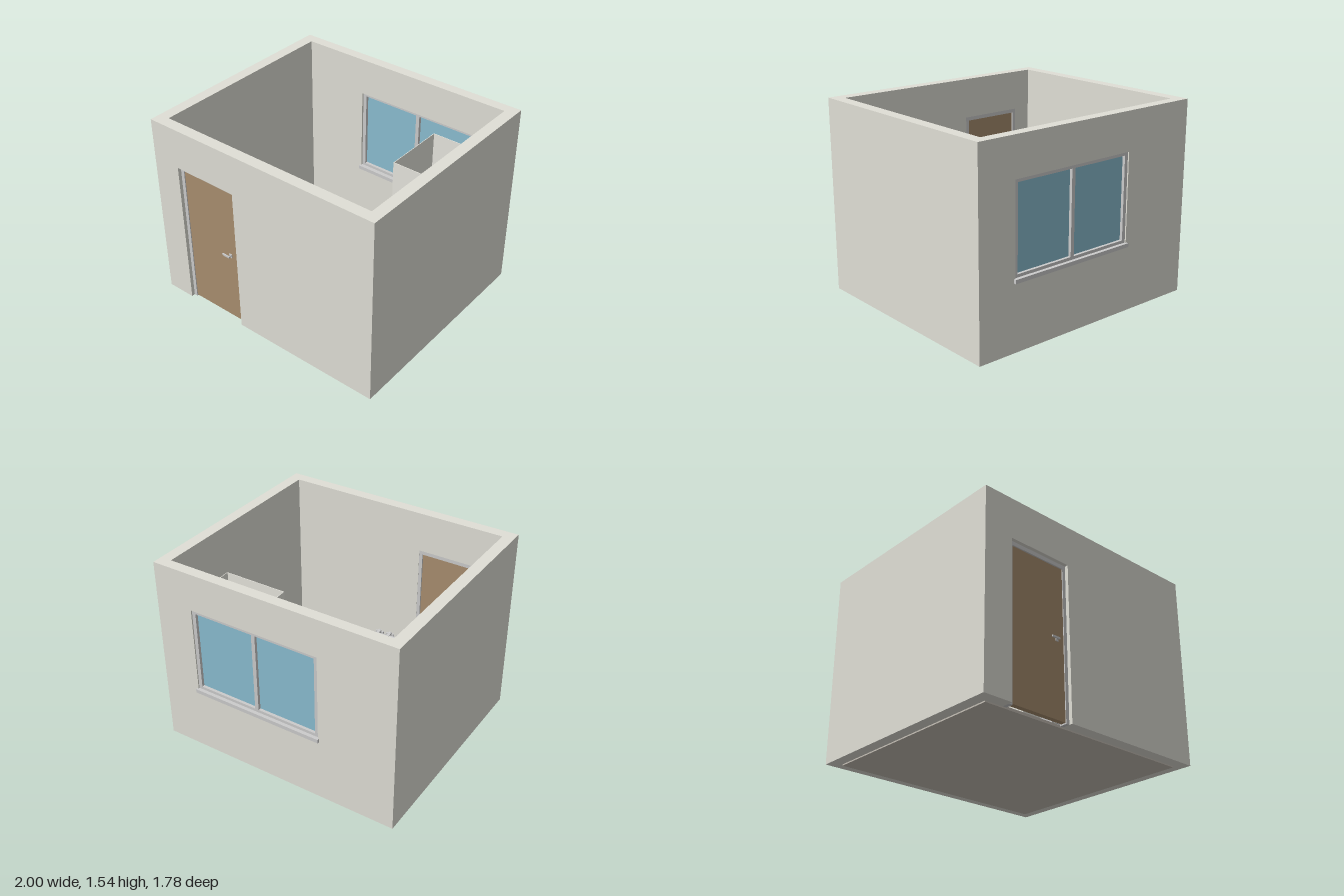
import * as THREE from 'three';

const mat = (color, side = THREE.FrontSide) => new THREE.MeshStandardMaterial({ color, side });
const grey = mat(0xcccccc), greyTwo = mat(0xcccccc, THREE.DoubleSide);
const wallMat = mat(0xe0dfd6), floorMat = mat(0xc4beb4), doorMat = mat(0xa88e6f);
const glassMat = mat(0x8abdd0), trayMat = mat(0xe6e5dd), darkMat = mat(0x404244);

function add(parent, name, geo, material, x = 0, y = 0, z = 0) {
  const m = new THREE.Mesh(geo, material);
  m.name = name;
  m.position.set(x, y, z);
  parent.add(m);
  return m;
}
// Box given by its limits on each axis
function box(parent, name, material, x0, x1, y0, y1, z0, z1) {
  return add(parent, name, new THREE.BoxGeometry(x1 - x0, y1 - y0, z1 - z0), material,
    (x0 + x1) / 2, (y0 + y1) / 2, (z0 + z1) / 2);
}
const group = (parent, name, x = 0, y = 0, z = 0, turn = 0) => {
  const g = new THREE.Group();
  g.name = name;
  g.position.set(x, y, z);
  g.rotation.y = turn;
  parent.add(g);
  return g;
};
const poly = (pts) => new THREE.Shape(pts.map(([x, y]) => new THREE.Vector2(x, y)));
const rect = (x0, x1, y0, y1) => poly([[x0, y0], [x1, y0], [x1, y1], [x0, y1]]);
const extrude = (shape, depth) =>
  new THREE.ExtrudeGeometry(shape, { depth, bevelEnabled: false, curveSegments: 12 });
// Extrude a plan (x, z) upward
const plan = (shape, height) => extrude(shape, height).rotateX(Math.PI / 2).translate(0, height, 0);

// Superellipse ring of points, squareness n
function oval(rx, rz, n, cz = 0, count = 32) {
  return Array.from({ length: count }, (_, i) => {
    const a = (i / count) * Math.PI * 2, c = Math.cos(a), s = Math.sin(a);
    return [rx * Math.sign(c) * Math.abs(c) ** (2 / n), cz + rz * Math.sign(s) * Math.abs(s) ** (2 / n)];
  });
}
// Skin through superellipse rings [y, rx, rz, cz], closed by a cap on the last ring
function loft(rings, n, count = 32) {
  const pos = [], idx = [];
  rings.forEach(([y, rx, rz, cz]) => oval(rx, rz, n, cz, count).forEach(([x, z]) => pos.push(x, y, z)));
  for (let r = 0; r < rings.length - 1; r++) {
    for (let i = 0; i < count; i++) {
      const a = r * count + i, b = r * count + (i + 1) % count;
      idx.push(a, a + count, b, b, a + count, b + count);
    }
  }
  const last = rings[rings.length - 1], base = (rings.length - 1) * count;
  pos.push(0, last[0], last[3]);
  for (let i = 0; i < count; i++) idx.push(base + i, rings.length * count, base + (i + 1) % count);
  const g = new THREE.BufferGeometry();
  g.setAttribute('position', new THREE.Float32BufferAttribute(pos, 3));
  g.setIndex(idx);
  g.computeVertexNormals();
  return g;
}

function buildRoom(root) {
  const room = group(root, 'room');
  box(room, 'floor', floorMat, -0.91, 0.91, 0, 0.02, -0.79, 0.8);
  for (const s of [-1, 1]) {
    const [a, b] = s > 0 ? [0.91, 1] : [-1, -0.91];
    box(room, 'sideWall', wallMat, a, b, 0.01, 1.54, -0.79, 0.8);
  }
  const front = poly([[-1, 0.01], [-0.765, 0.01], [-0.765, 1.22], [-0.23, 1.22], [-0.23, 0.01],
    [1, 0.01], [1, 1.54], [-1, 1.54]]);
  add(room, 'frontWall', extrude(front, 0.09), wallMat, 0, 0, 0.8);
  const back = rect(-1, 1, 0.01, 1.54);
  back.holes.push(rect(-0.38, 0.69, 0.54, 1.24));
  add(room, 'backWall', extrude(back, 0.085), wallMat, 0, 0, -0.875);
}

function buildDoor(root) {
  const door = group(root, 'door');
  const frame = poly([[-0.765, 0.01], [-0.735, 0.01], [-0.735, 1.19], [-0.258, 1.19], [-0.258, 0.01],
    [-0.23, 0.01], [-0.23, 1.22], [-0.765, 1.22]]);
  add(door, 'doorFrame', extrude(frame, 0.06), grey, 0, 0, 0.802);
  box(door, 'doorLeaf', doorMat, -0.735, -0.258, 0.02, 1.187, 0.815, 0.855);
  // A handle on each face
  for (const [z, s] of [[0.855, 1], [0.815, -1]]) {
    box(door, 'handlePlate', grey, -0.335, -0.31, 0.598, 0.628, Math.min(z, z + s * 0.006), Math.max(z, z + s * 0.006));
    add(door, 'handleStem', new THREE.CylinderGeometry(0.007, 0.007, 0.025, 12).rotateX(Math.PI / 2),
      grey, -0.322, 0.613, z + s * 0.0125);
    box(door, 'handleLever', grey, -0.385, -0.315, 0.606, 0.62, z + s * 0.023 - 0.005, z + s * 0.023 + 0.005);
  }
}

function buildWindow(root) {
  const win = group(root, 'window');
  const frame = rect(-0.38, 0.69, 0.55, 1.24);
  frame.holes.push(rect(-0.35, 0.14, 0.575, 1.215), rect(0.17, 0.66, 0.575, 1.215));
  add(win, 'windowFrame', extrude(frame, 0.06), grey, 0, 0, -0.865);
  box(win, 'glass', glassMat, -0.355, 0.665, 0.57, 1.22, -0.842, -0.83);
  box(win, 'sill', grey, -0.39, 0.7, 0.522, 0.552, -0.893, -0.77);
}

function buildShower(root) {
  const shower = group(root, 'shower');
  box(shower, 'tray', trayMat, 0.355, 0.89, 0.02, 0.07, -0.74, -0.21);
  const walls = rect(0.355, 0.89, -0.74, -0.21);
  walls.holes.push(rect(0.36, 0.885, -0.735, -0.215));
  add(shower, 'enclosure', plan(walls, 1.095), trayMat, 0, 0.07, 0);
  add(shower, 'drain', new THREE.CylinderGeometry(0.026, 0.026, 0.006, 20), darkMat, 0.62, 0.073, -0.47);
  add(shower, 'showerHead', new THREE.CylinderGeometry(0.03, 0.06, 0.025, 28), darkMat, 0.5, 1.0, -0.29);
  const arm = new THREE.CatmullRomCurve3([[0.5, 0.6, -0.225], [0.5, 0.98, -0.225], [0.5, 1.05, -0.245],
    [0.5, 1.05, -0.28], [0.5, 1.01, -0.29]].map((p) => new THREE.Vector3(...p)));
  add(shower, 'showerPipe', new THREE.TubeGeometry(arm, 24, 0.007, 8), darkMat);
}

function buildBathtub(root) {
  const tub = group(root, 'bathtub', 0.177, 0.02, -0.387, 0.143);
  // Rim plan with corner blocks and a rounded nub on each end
  const half = [[0.122, 0.345], [0.07, 0.345], [0.055, 0.315], [0.04, 0.345], [-0.04, 0.345],
    [-0.055, 0.315], [-0.07, 0.345], [-0.122, 0.345]];
  const rim = poly([...half, ...half.map(([x, z]) => [-x, -z])]);
  rim.holes.push(poly(oval(0.096, 0.302, 5)));
  add(tub, 'rim', plan(rim, 0.035), grey, 0, 0.21, 0);
  add(tub, 'basin', loft([[0.245, 0.096, 0.302, 0], [0.2, 0.094, 0.298, 0], [0.12, 0.087, 0.28, 0],
    [0.07, 0.075, 0.255, 0], [0.055, 0.05, 0.22, 0]], 5), greyTwo);
  add(tub, 'body', loft([[0.212, 0.108, 0.318, 0], [0.12, 0.1, 0.3, 0], [0.055, 0.087, 0.27, 0],
    [0.035, 0.06, 0.23, 0]], 5), greyTwo);
  for (const x of [-1, 1]) for (const z of [-1, 1]) {
    add(tub, 'foot', new THREE.CylinderGeometry(0.022, 0.014, 0.09, 12), grey, x * 0.06, 0.045, z * 0.22);
  }
}

function buildToilet(root) {
  const toilet = group(root, 'toilet', -0.778, 0.02, 0);
  // Top plan: round in front, stepped and narrowing at the back
  const side = [[0.118, -0.05], [0.116, 0.03], [0.104, 0.1], [0.1, 0.145], [0.065, 0.152], [0.05, 0.183]];
  const s = new THREE.Shape();
  s.moveTo(-0.118, -0.05);
  s.bezierCurveTo(-0.12, -0.215, 0.12, -0.215, 0.118, -0.05);
  side.slice(1).forEach(([x, z]) => s.lineTo(x, z));
  side.slice(1).reverse().forEach(([x, z]) => s.lineTo(-x, z));
  s.holes.push(poly(oval(0.088, 0.1, 2.8, -0.05)));
  add(toilet, 'bowlRim', plan(s, 0.035), grey, 0, 0.215, 0);
  add(toilet, 'bowlInside', loft([[0.25, 0.088, 0.1, -0.05], [0.19, 0.08, 0.092, -0.045],
    [0.12, 0.05, 0.06, -0.01], [0.08, 0.03, 0.03, 0.01]], 2.6), greyTwo);
  add(toilet, 'pedestal', loft([[0.217, 0.104, 0.135, -0.03], [0.15, 0.088, 0.12, -0.01],
    [0.08, 0.066, 0.1, 0.01], [0.03, 0.07, 0.11, 0.015], [0, 0.076, 0.115, 0.015]], 2.6), greyTwo);
  add(toilet, 'waterInlet', new THREE.TorusGeometry(0.022, 0.009, 10, 24).rotateX(Math.PI / 2), grey, -0.01, 0.252, 0.143);
  for (const x of [-0.05, 0.05]) {
    add(toilet, 'seatBolt', new THREE.CylinderGeometry(0.007, 0.007, 0.006, 12), grey, x, 0.252, 0.085);
  }
}

function buildRadiator(root) {
  const rad = group(root, 'radiator', -0.12, 0.02, 0.715, 0.12);
  const spacing = 0.094;
  for (let i = -2; i <= 2; i++) {
    const section = group(rad, 'radiatorSection', i * spacing);
    box(section, 'web', grey, -0.012, 0.012, 0.07, 0.38, -0.055, 0.055);
    for (const z of [-1, 1]) {
      add(section, 'column', new THREE.CapsuleGeometry(0.018, 0.28, 4, 12), grey, 0, 0.225, z * 0.042);
      box(section, 'fin', grey, -0.034, 0.034, 0.08, 0.37, z * 0.045 - 0.008, z * 0.045 + 0.008);
    }
    for (const y of [0.1, 0.35]) {
      add(section, 'hub', new THREE.CylinderGeometry(0.026, 0.026, spacing, 16).rotateZ(Math.PI / 2), grey, 0, y, 0);
    }
  }
  for (const x of [-1, 1]) {
    for (const y of [0.1, 0.35]) {
      add(rad, 'endPlug', new THREE.CylinderGeometry(0.02, 0.02, 0.03, 6).rotateZ(Math.PI / 2), grey, x * 0.237, y, 0);
    }
    box(rad, 'leg', grey, x * 0.188 - 0.012, x * 0.188 + 0.012, 0, 0.08, -0.045, 0.045);
  }
}

export function createModel() {
  const root = new THREE.Group();
  root.name = 'bathroom';
  [buildRoom, buildDoor, buildWindow, buildShower, buildBathtub, buildToilet, buildRadiator].forEach((f) => f(root));
  return root;
}
